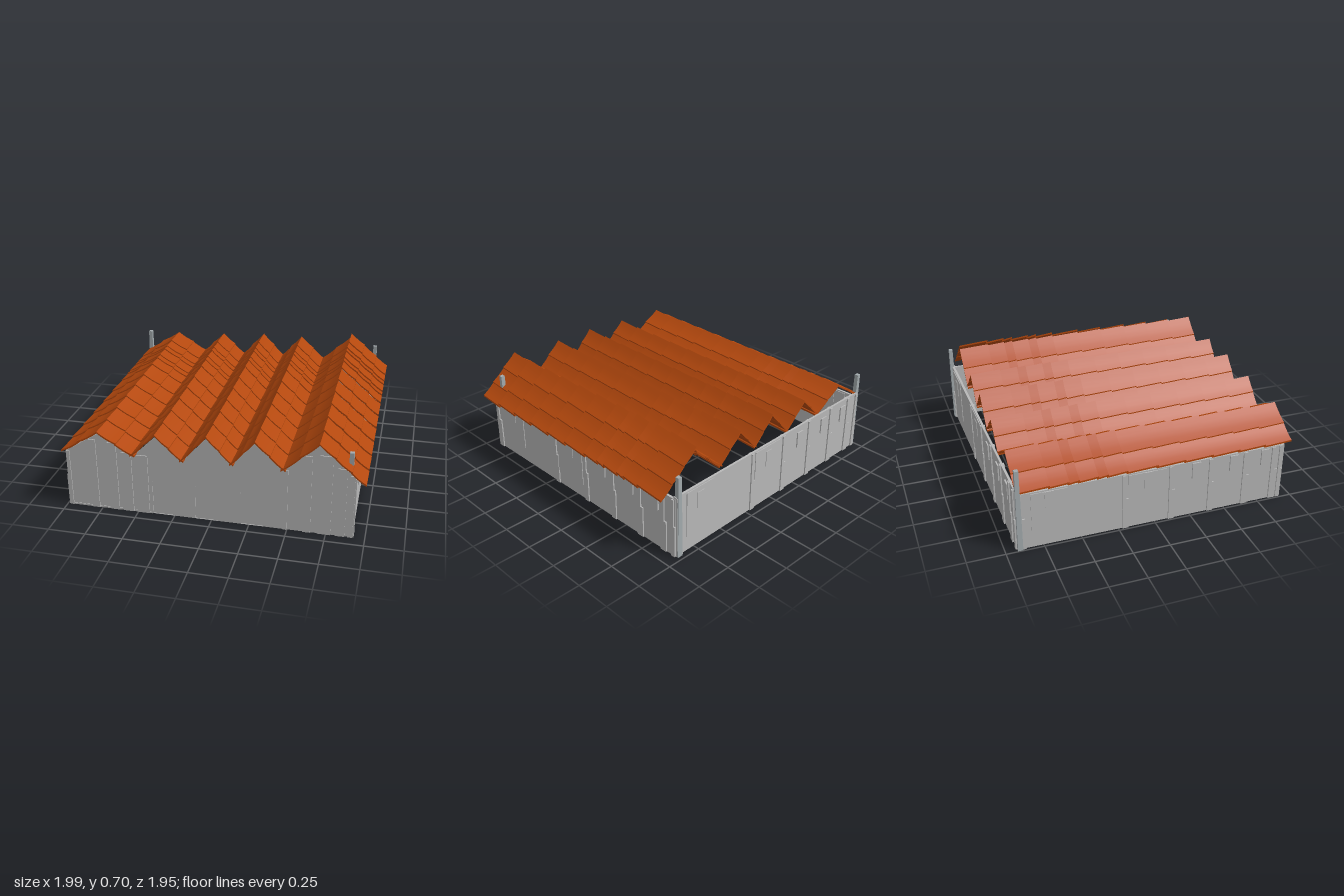
import * as THREE from 'three';

const wallMat = new THREE.MeshStandardMaterial({ name: 'plaster grey', color: 0xb8b8b8 });
const roofMat = new THREE.MeshStandardMaterial({ name: 'terracotta', color: 0xb4480d });
const postMat = new THREE.MeshStandardMaterial({ name: 'post grey', color: 0xa3abae });

// Zigzag roof line, from valley to ridge to valley
const ROOF = [
  [-0.99, 0.42], [-0.735, 0.585], [-0.51, 0.445], [-0.35, 0.605], [-0.18, 0.445], [-0.015, 0.63],
  [0.145, 0.46], [0.295, 0.63], [0.475, 0.46], [0.695, 0.66], [0.99, 0.405],
];
// Front edges of the tile rows, then the back edge of the roof
const ROWS = [0.97, 0.78, 0.59, 0.4, 0.205, 0.015, -0.19, -0.32, -0.385, -0.51, -0.575, -0.7, -0.915];

function roofY(x) {
  const i = Math.max(1, ROOF.findIndex((p) => p[0] >= x));
  const [a, b] = [ROOF[i - 1], ROOF[i]];
  return a[1] + (b[1] - a[1]) * (x - a[0]) / (b[0] - a[0]);
}

function add(parent, geometry, material, name) {
  const mesh = new THREE.Mesh(geometry, material);
  mesh.name = name;
  parent.add(mesh);
  return mesh;
}

// Upright block given by its extents
function block(parent, name, x0, x1, y0, y1, z, depth) {
  const mesh = add(parent, new THREE.BoxGeometry(x1 - x0, y1 - y0, depth), wallMat, name);
  mesh.position.set((x0 + x1) / 2, (y0 + y1) / 2, z);
}

// One sagging tile from its upper edge a to its lower edge b; its front end is raised
function tile(a, b, zFront, zBack, lift, tilt) {
  const g = new THREE.BoxGeometry(1, 0.012, 1, 4, 1, 1);
  const p = g.attributes.position;
  const side = Math.sign(b[0] - a[0]);
  for (let i = 0; i < p.count; i++) {
    const t = p.getX(i) * side + 0.5;
    const front = p.getZ(i) + 0.5;
    const sag = 0.006 * Math.sin(Math.PI * t);
    p.setXYZ(i,
      a[0] + (b[0] - a[0]) * t,
      a[1] + (b[1] - a[1]) * t + p.getY(i) + 0.007 * t - sag + tilt * (front - 0.7) + lift,
      zBack + (zFront - zBack) * front);
  }
  g.computeVertexNormals();
  return g;
}

function buildRoof() {
  const roof = new THREE.Group();
  roof.name = 'tiledRoof';
  for (let s = 0; s < ROOF.length - 1; s++) {
    const uphill = ROOF[s + 1][1] > ROOF[s][1];
    const top = uphill ? ROOF[s + 1] : ROOF[s];
    const foot = uphill ? ROOF[s] : ROOF[s + 1];
    const last = s === ROOF.length - 2;
    const courses = last ? 3 : 2;
    const at = (t) => [top[0] + (foot[0] - top[0]) * t, top[1] + (foot[1] - top[1]) * t];
    for (let r = 0; r < ROWS.length - 1; r++) {
      // The last slope climbs towards the back
      const lift = last ? 0.032 * Math.min(1, (0.97 - ROWS[r]) / 1.5) : 0;
      for (let c = 0; c < courses; c++) {
        const end = c === courses - 1 ? (last || s === 0 ? 1 : 1.08) : (c + 1.1) / courses;
        const back = Math.max(-0.915, ROWS[r + 1] - 0.012);
        add(roof, tile(at(c / courses), at(end), ROWS[r], back, lift, last ? 0.015 : 0.01), roofMat, 'roofTile');
      }
    }
  }
  return roof;
}

function buildFront() {
  const front = new THREE.Group();
  front.name = 'frontWall';
  const right = 0.92, left = -0.98, depth = 0.02;
  const shape = new THREE.Shape();
  shape.moveTo(left, 0);
  shape.lineTo(right, 0);
  shape.lineTo(right, roofY(right) - 0.02);
  for (const [x, y] of ROOF.slice(1, -1).reverse()) shape.lineTo(x, y - 0.022);
  shape.lineTo(left, roofY(left) - 0.02);
  // Blind arches: openings closed by thinner panels
  const arch = (path, x) => {
    path.moveTo(x - 0.075, 0.001);
    path.lineTo(x + 0.075, 0.001);
    path.lineTo(x + 0.075, 0.22);
    path.absarc(x, 0.22, 0.075, 0, Math.PI, false);
    path.lineTo(x - 0.075, 0.001);
    return path;
  };
  for (const x of [-0.32, -0.033, 0.27]) {
    shape.holes.push(arch(new THREE.Path(), x));
    const g = new THREE.ExtrudeGeometry(arch(new THREE.Shape(), x), { depth: 0.009, bevelEnabled: false, curveSegments: 16 });
    add(front, g, wallMat, 'archPanel').position.z = 0.905;
  }
  const g = new THREE.ExtrudeGeometry(shape, { depth, bevelEnabled: false, curveSegments: 16 });
  add(front, g, wallMat, 'gabledWall').position.z = 0.9;
  // Pilasters under the roof line
  const pilasters = [[-0.98, -0.957], [-0.82, -0.77], [-0.69, -0.63], [-0.6, -0.53], [-0.505, -0.42],
    [0.475, 0.5], [0.6, 0.65], [0.695, 0.78], [0.81, 0.87], [0.89, 0.92]];
  for (const [a, b] of pilasters) {
    block(front, 'pilaster', a, b, 0, Math.min(roofY(a), roofY(b)) - 0.02, 0.91, 0.034);
  }
  block(front, 'plinth', -0.957, -0.4, 0, 0.012, 0.91, 0.028);
  return front;
}

// Straight wall from a to b with raised panels, windows and stepped pilasters
function buildWall(name, a, b, height) {
  const wall = new THREE.Group();
  wall.name = name;
  const dx = b[0] - a[0], dz = b[1] - a[1], length = Math.hypot(dx, dz);
  wall.position.set(a[0], 0, a[1]);
  wall.rotation.y = Math.atan2(-dz, dx);
  block(wall, 'wallSlab', 0, length, 0, height, 0, 0.016);
  for (const [s0, s1] of [[0.09, 0.33], [0.73, 0.99]]) block(wall, 'raisedPanel', s0, s1, 0.105, height - 0.01, 0, 0.026);
  for (const s of [0.21, 0.865, 1.2, 1.47, 1.7]) block(wall, 'window', s - 0.03, s + 0.03, 0.28, 0.395, 0, 0.034);
  for (const [s0, s1] of [[0.0, 0.05], [0.69, 0.73], [1.01, 1.05], [1.29, 1.33], [1.54, 1.59], [1.75, 1.8], [length - 0.03, length]]) {
    block(wall, 'pilaster', s0, s1, 0, 0.225, 0, 0.034);
    block(wall, 'pilasterTop', s0, s0 + (s1 - s0) * 0.6, 0.225, height - 0.005, 0, 0.034);
  }
  return wall;
}

// Tapered corner post with a slanted cap
function buildPost(x, z) {
  const g = new THREE.BoxGeometry(0.035, 0.58, 0.03, 1, 3, 1);
  const p = g.attributes.position;
  for (let i = 0; i < p.count; i++) {
    const t = p.getY(i) / 0.58 + 0.5;
    p.setXYZ(i, p.getX(i) * (1.1 - 0.3 * t), t * 0.58 - (t === 1 && p.getZ(i) < 0 ? 0.012 : 0), p.getZ(i) * (1.15 - 0.25 * t));
  }
  g.computeVertexNormals();
  const post = new THREE.Mesh(g, postMat);
  post.name = 'cornerPost';
  post.position.set(x, 0, z);
  return post;
}

export function createModel() {
  const model = new THREE.Group();
  model.name = 'longhall';
  model.add(
    buildRoof(),
    buildFront(),
    buildWall('rightWall', [0.912, 0.92], [0.9, -0.955], 0.425),
    buildWall('backWall', [0.905, -0.95], [-0.975, -0.915], 0.44),
    buildWall('leftWall', [-0.972, -0.915], [-0.972, 0.92], 0.405),
    buildPost(0.885, -0.958),
    buildPost(0.885, 0.865),
    buildPost(-0.977, -0.905),
  );
  return model;
}
